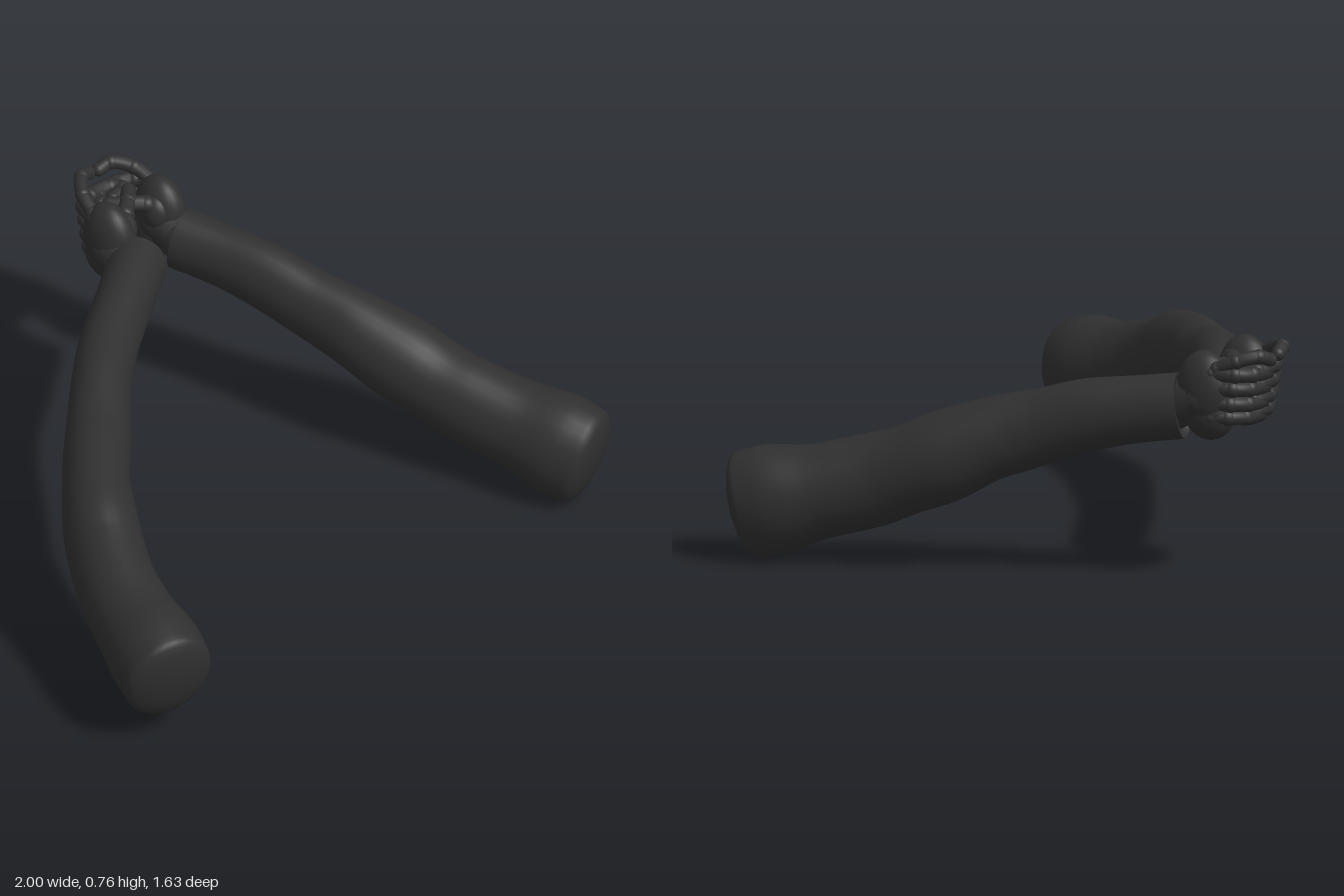
import * as THREE from 'three';

const clothMat = new THREE.MeshStandardMaterial({ color: 0x303030 });
clothMat.name = 'charcoal';

const V = (x, y, z) => new THREE.Vector3(x, y, z);

// Sleeve stations from shoulder to wrist: x, y, z, half width, half height
const RIGHT_ARM = [
  [-0.867, 0.258, 0.74, 0.14, 0.166], [-0.842, 0.275, 0.67, 0.145, 0.169], [-0.797, 0.3, 0.53, 0.13, 0.15],
  [-0.74, 0.334, 0.385, 0.122, 0.154], [-0.68, 0.37, 0.28, 0.119, 0.155], [-0.635, 0.404, 0.21, 0.117, 0.154],
  [-0.53, 0.445, 0.08, 0.104, 0.136], [-0.455, 0.46, 0.005, 0.103, 0.13], [-0.38, 0.476, -0.065, 0.101, 0.118],
  [-0.25, 0.508, -0.19, 0.092, 0.119], [-0.12, 0.53, -0.295, 0.091, 0.107],
  [0.07, 0.542, -0.42, 0.088, 0.109], [0.227, 0.56, -0.522, 0.091, 0.102],
];
const LEFT_ARM = [
  [0.882, 0.166, 0.745, 0.13, 0.168], [0.854, 0.187, 0.67, 0.142, 0.171], [0.802, 0.22, 0.54, 0.127, 0.146],
  [0.735, 0.264, 0.385, 0.121, 0.144], [0.703, 0.3, 0.29, 0.121, 0.136], [0.665, 0.343, 0.19, 0.125, 0.141],
  [0.61, 0.405, 0.06, 0.112, 0.127], [0.578, 0.435, -0.03, 0.097, 0.123], [0.55, 0.46, -0.11, 0.091, 0.116],
  [0.505, 0.505, -0.25, 0.088, 0.112], [0.455, 0.533, -0.4, 0.083, 0.103], [0.408, 0.551, -0.525, 0.086, 0.102],
];

// Elliptical sleeve lofted along a curve, with a domed shoulder and a turned-in cuff
function sleeve(stations, name) {
  const sides = 32, steps = (stations.length - 1) * 4;
  const curve = new THREE.CatmullRomCurve3(stations.map((s) => V(s[0], s[1], s[2])));
  const radii = new THREE.CatmullRomCurve3(stations.map((s) => V(s[3], s[4], 0)));
  const rings = [];
  const ring = (t, shift, scale) => {
    const tangent = curve.getTangent(t), r = radii.getPoint(t).multiplyScalar(scale);
    const side = tangent.clone().cross(V(0, 1, 0)).normalize();
    rings.push({ c: curve.getPoint(t).addScaledVector(tangent, shift), side, up: side.clone().cross(tangent), r });
  };
  for (let k = 0; k < 7; k++) {
    const a = (1 - k / 7) * Math.PI / 2;
    ring(0, -0.05 * Math.sin(a), Math.max(Math.cos(a), 0.001));
  }
  for (let i = 0; i <= steps; i++) ring(i / steps, 0, 1);
  const rim = rings.length - 1;
  ring(1, 0, 1);
  ring(1, 0, 0.86);
  ring(1, -0.03, 0.8);
  ring(1, -0.03, 0.001);

  const pos = [], index = [];
  rings.forEach(({ c, side, up, r }, i) => {
    for (let j = 0; j < sides; j++) {
      const a = (j / sides) * Math.PI * 2;
      const p = c.clone().addScaledVector(side, Math.cos(a) * r.x).addScaledVector(up, Math.sin(a) * r.y);
      pos.push(p.x, p.y, p.z);
      if (i === rings.length - 1 || i === rim) continue;
      const k = (j + 1) % sides, n = i * sides;
      index.push(n + j, n + sides + j, n + k, n + sides + j, n + sides + k, n + k);
    }
  });
  const g = new THREE.BufferGeometry();
  g.setAttribute('position', new THREE.Float32BufferAttribute(pos, 3));
  g.setIndex(index);
  g.computeVertexNormals();
  const mesh = new THREE.Mesh(g, clothMat);
  mesh.name = name;
  return mesh;
}

function ellipsoid(name, c, r) {
  const g = new THREE.SphereGeometry(1, 24, 16).scale(...r);
  const m = new THREE.Mesh(g, clothMat);
  m.position.set(...c);
  m.name = name;
  return m;
}

// Bent finger: tube with round tip and swollen knuckles
function finger(name, points, r) {
  const group = new THREE.Group();
  group.name = name;
  const curve = new THREE.CatmullRomCurve3(points.map((p) => V(...p)));
  const tube = new THREE.Mesh(new THREE.TubeGeometry(curve, 20, r, 12), clothMat);
  tube.name = name + 'Tube';
  group.add(tube);
  points.forEach((p, i) => {
    const s = i === points.length - 1 ? r : r * 1.1;
    group.add(ellipsoid(name + 'Joint', p, [s, s, s]));
  });
  return group;
}

// Hand around x = 0.3; s = 1 is the right hand, s = -1 its mirror
function hand(s, wrist, name) {
  const group = new THREE.Group();
  group.name = name;
  const dy = s > 0 ? 0 : -0.01;
  const P = (x, y, z) => [0.3 + s * x, y + dy, z];
  group.add(finger('wrist', [wrist, P(-0.105, 0.595, -0.6)], 0.072));
  group.add(ellipsoid('palm', P(-0.108, 0.622, -0.61), [0.066, 0.122, 0.093]));
  group.add(ellipsoid('heel', P(-0.098, 0.55, -0.62), [0.062, 0.084, 0.085]));
  group.add(ellipsoid('thumbBase', P(-0.07, 0.645, -0.592), [0.042, 0.06, 0.05]));
  // Pointing finger arching forward over the fist
  group.add(finger('indexFinger', [P(-0.125, 0.695, -0.665), P(-0.108, 0.722, -0.725),
    P(-0.062, 0.736, -0.778), P(-0.022, 0.722, -0.79)], 0.0215));
  // Curled fingers stacked below, tips folded back inside the fist
  [0.68, 0.635, 0.587, 0.545].forEach((y, i) => {
    const d = i * 0.009;
    group.add(finger('curledFinger', [P(-0.13, y, -0.65), P(-0.108, y, -0.72 + d),
      P(-0.055, y - 0.004, -0.748 + d), P(0.025, y - 0.008, -0.744 + d),
      P(0.045, y - 0.01, -0.71 + d), P(-0.01, y - 0.01, -0.695 + d)], 0.024));
  });
  // Thumb crossing over the other hand
  group.add(finger('thumb', [P(-0.08, 0.655, -0.57), P(-0.045, 0.68, -0.605),
    P(0.0, 0.685, -0.64), P(0.04, 0.68, -0.68)], 0.025));
  return group;
}

export function createModel() {
  const model = new THREE.Group();
  model.name = 'arms';
  model.add(sleeve(RIGHT_ARM, 'rightSleeve'), sleeve(LEFT_ARM, 'leftSleeve'));
  model.add(hand(1, [0.18, 0.565, -0.49], 'rightHand'), hand(-1, [0.415, 0.555, -0.5], 'leftHand'));
  return model;
}
